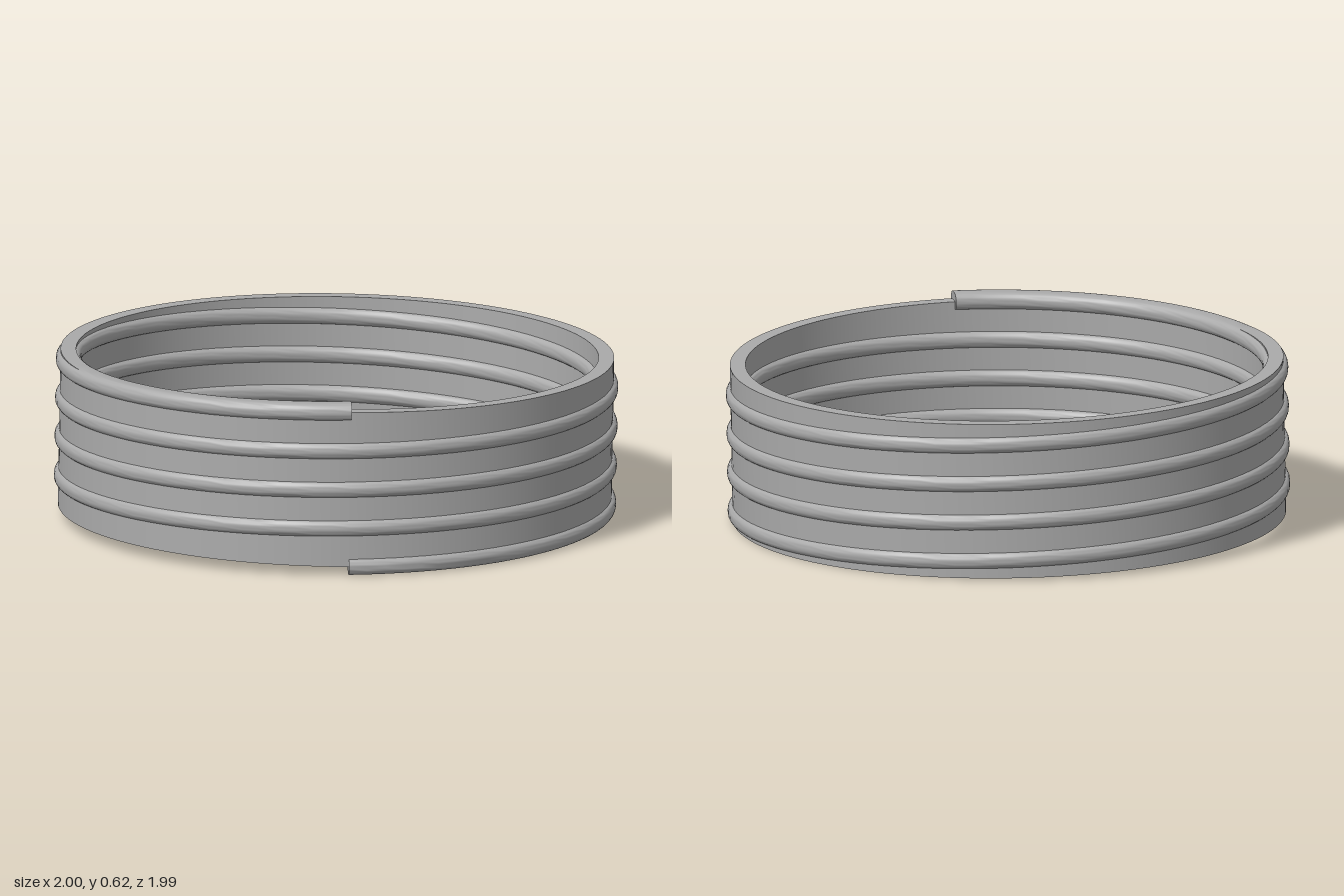
import * as THREE from 'three';
import { toCreasedNormals } from 'three/addons/utils/BufferGeometryUtils.js';

const HEIGHT = 0.56, TURNS = 4, STEPS = 96 * TURNS;
const MID_RADIUS = 0.951;
const START = THREE.MathUtils.degToRad(139.5);

// Rounded-rectangle cross-section, counter-clockwise, as [radial, vertical] offsets
function ribProfile(halfW, halfH, r, arcSteps) {
  const points = [];
  const corners = [[1, -1], [1, 1], [-1, 1], [-1, -1]];
  corners.forEach(([sx, sy], c) => {
    for (let k = 0; k <= arcSteps; k++) {
      const a = (c - 1 + k / arcSteps) * Math.PI / 2;
      points.push([sx * (halfW - r) + r * Math.cos(a), sy * (halfH - r) + r * Math.sin(a)]);
    }
  });
  return points;
}

// Sweep the cross-section along a rising helix and cap both ends
function helixGeometry(profile) {
  const n = profile.length, positions = [], index = [];
  for (let i = 0; i <= STEPS; i++) {
    const t = i / STEPS, a = START - t * TURNS * Math.PI * 2;
    for (const [dr, dy] of profile) {
      const r = MID_RADIUS + dr;
      positions.push(r * Math.cos(a), t * HEIGHT + dy, r * Math.sin(a));
    }
  }
  for (let i = 0; i < STEPS; i++) {
    for (let j = 0; j < n; j++) {
      const a = i * n + j, b = i * n + (j + 1) % n;
      index.push(a, a + n, b, b, a + n, b + n);
    }
  }
  const last = STEPS * n;
  for (let j = 1; j < n - 1; j++) {
    index.push(0, j, j + 1);
    index.push(last, last + j + 1, last + j);
  }
  const geometry = new THREE.BufferGeometry();
  geometry.setAttribute('position', new THREE.Float32BufferAttribute(positions, 3));
  geometry.setIndex(index);
  return toCreasedNormals(geometry, 0.7);
}

export function createModel() {
  const model = new THREE.Group();
  model.name = 'ribbedRing';
  const metal = new THREE.MeshStandardMaterial({ color: 0xaaaaaa });
  metal.name = 'grey metal';

  const ring = new THREE.Group();
  ring.name = 'tiltedRing';

  // Plain cylindrical wall
  const outer = 0.98, inner = 0.925;
  const section = [[outer, 0], [outer, HEIGHT], [inner, HEIGHT], [inner, 0], [outer, 0]]
    .map(([x, y]) => new THREE.Vector2(x, y));
  const wall = new THREE.Mesh(
    toCreasedNormals(new THREE.LatheGeometry(section, 128), 0.7), metal);
  wall.name = 'wall';

  // Helical rib, proud of the wall on both the inside and the outside
  const rib = new THREE.Mesh(helixGeometry(ribProfile(0.045, 0.03, 0.026, 6)), metal);
  rib.name = 'helicalRib';

  // The whole ring leans very slightly
  ring.add(wall, rib);
  ring.rotation.set(0.007, 0, -0.02);
  ring.position.set(-0.0056, 0.025, -0.002);
  model.add(ring);
  return model;
}
